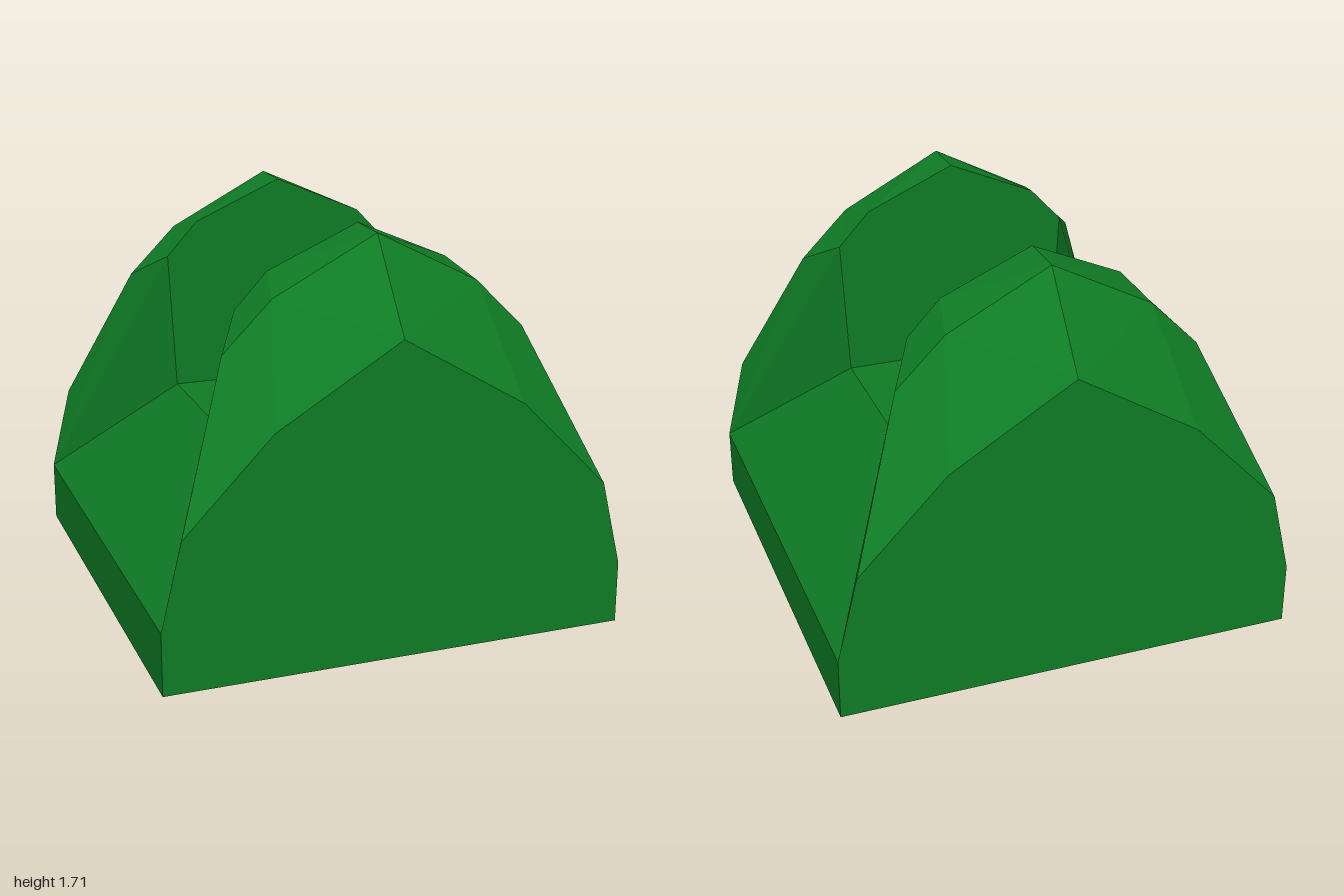
import * as THREE from 'three';

const green = new THREE.MeshStandardMaterial({ color: 0x0f7d25 });
green.name = 'green';

// Flat-faced mesh from convex corner loops given for one quarter (+x, +z).
// Each [sx, sz] pair mirrors the quarter; loops are reversed when handedness flips.
function mirroredMesh(name, faces, signs) {
  const positions = [];
  for (const [sx, sz] of signs) {
    for (const face of faces) {
      const loop = face.map(([x, y, z]) => [x * sx, y, z * sz]);
      if (sx * sz < 0) loop.reverse().unshift(loop.pop());
      for (let i = 1; i < loop.length - 1; i++) {
        positions.push(...loop[0], ...loop[i], ...loop[i + 1]);
      }
    }
  }
  const geometry = new THREE.BufferGeometry();
  geometry.setAttribute('position', new THREE.Float32BufferAttribute(positions, 3));
  geometry.computeVertexNormals();
  const mesh = new THREE.Mesh(geometry, green);
  mesh.name = name;
  return mesh;
}

// Faces bridging two cross-sections
const bridge = (a, b) => a.slice(1).map((p, i) => [a[i], p, b[i + 1], b[i]]);

export function createModel() {
  const group = new THREE.Group();
  group.name = 'saddleBlock';

  // Shared corners: top of the slab and corner of the raised floor
  const slabCorner = [1, 0.27, 1];
  const floorCorner = [0.5, 0.78, 0.5];

  // Half cross-sections of a hump, from the ridge outwards
  const outer = [[0, 1.35, 1], [0.53, 1.03, 1], [0.91, 0.64, 1]];
  const middle = [[0, 1.71, 0.71], [0.44, 1.48, 0.71], [0.65, 1.27, 0.71]];
  const inner = [[0, 1.71, 0.5], [0.39, 1.54, 0.5], [0.53, 1.39, 0.5]];

  const humpFaces = [
    // end wall
    [[0, 0, 1], [1, 0, 1], slabCorner, outer[2], outer[1], outer[0]],
    // sloped shoulder and crown
    ...bridge(outer, middle),
    ...bridge(middle, inner),
    // wall facing the gap
    [[0, 0.78, 0.5], ...inner, floorCorner],
    // diagonal cheek
    [slabCorner, floorCorner, inner[2], middle[2], outer[2]],
  ];

  const baseFaces = [
    // slab side
    [[1, 0, 1], [1, 0, 0], [1, 0.27, 0], slabCorner],
    // slope up to the floor
    [slabCorner, [1, 0.27, 0], [0.5, 0.78, 0], floorCorner],
    // raised floor
    [[0, 0.78, 0.5], floorCorner, [0.5, 0.78, 0], [0, 0.78, 0]],
    // underside
    [[0, 0, 0], [1, 0, 0], [1, 0, 1], [0, 0, 1]],
  ];

  group.add(
    mirroredMesh('base', baseFaces, [[1, 1], [-1, 1], [1, -1], [-1, -1]]),
    mirroredMesh('frontHump', humpFaces, [[1, 1], [-1, 1]]),
    mirroredMesh('backHump', humpFaces, [[1, -1], [-1, -1]]),
  );
  return group;
}
